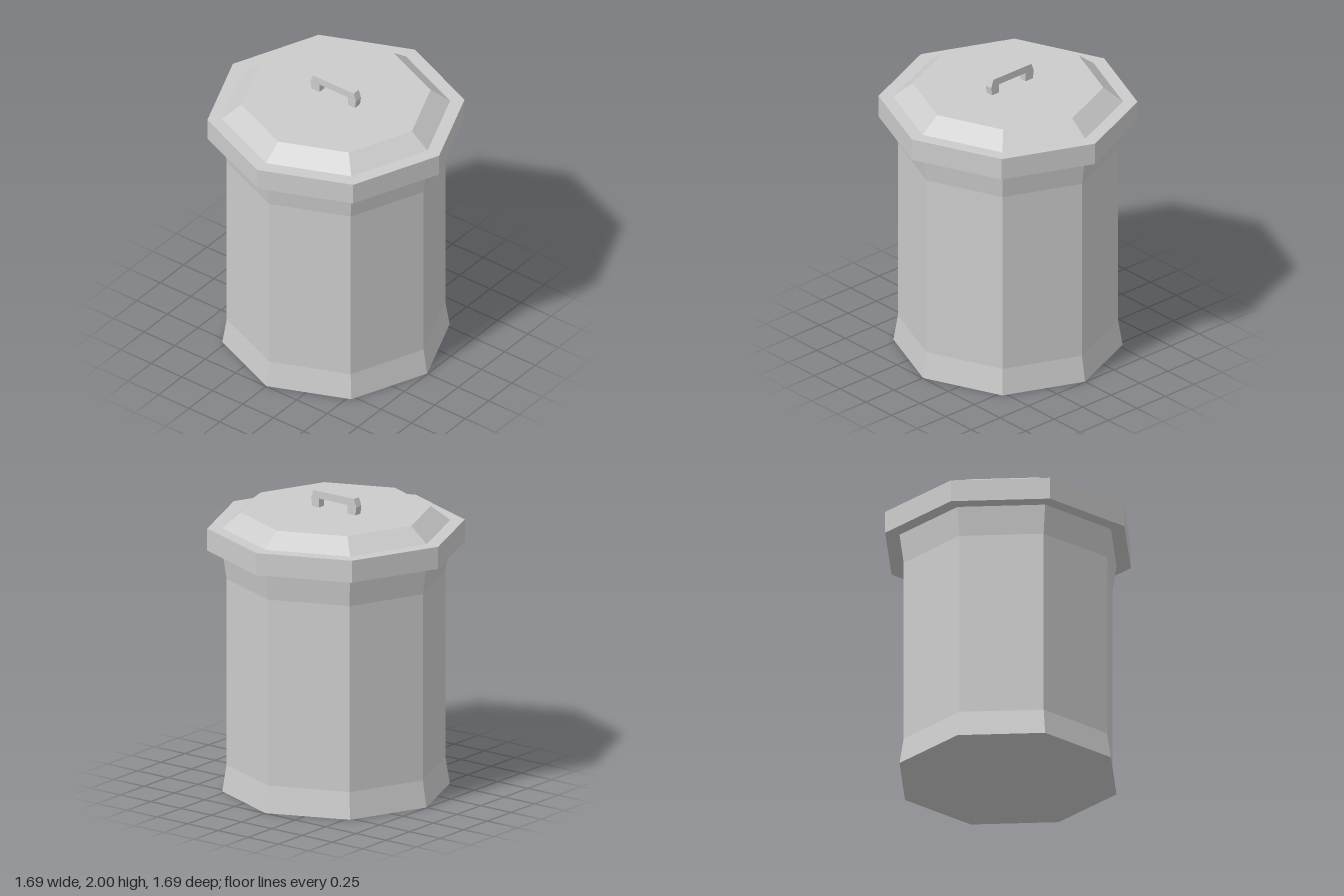
import * as THREE from 'three';

const SIDES = 8;

function makeMaterial() {
  return new THREE.MeshStandardMaterial({ color: 0xcccccc, flatShading: true });
}

// Octagonal solid turned from [radius, height] pairs, listed bottom to top
function turned(name, profile) {
  const points = profile.map(([r, y]) => new THREE.Vector2(r, y));
  const mesh = new THREE.Mesh(new THREE.LatheGeometry(points, SIDES), makeMaterial());
  mesh.name = name;
  return mesh;
}

export function createModel() {
  const group = new THREE.Group();
  group.name = 'trashCan';

  // Can body, flared at the foot and the mouth
  group.add(turned('body', [
    [0, 0], [0.747, 0], [0.718, 0.18], [0.718, 1.444], [0.747, 1.64],
  ]));

  // Lid with a wide rim and a bevelled raised top
  group.add(turned('lid', [
    [0, 1.64], [0.845, 1.64], [0.845, 1.79], [0.75, 1.79], [0.622, 1.89], [0, 1.89],
  ]));

  // Bracket handle standing on the lid, slightly off centre
  const outline = [
    [-0.187, 1.89], [-0.122, 1.89], [-0.122, 1.95], [0.112, 1.95], [0.112, 1.89],
    [0.17, 1.89], [0.178, 1.945], [0.16, 2], [-0.175, 2], [-0.195, 1.945],
  ];
  const shape = new THREE.Shape(outline.map(([x, y]) => new THREE.Vector2(x, y)));
  const handle = new THREE.Mesh(
    new THREE.ExtrudeGeometry(shape, { depth: 0.054, bevelEnabled: false }),
    makeMaterial()
  );
  handle.position.z = -0.035;
  handle.name = 'handle';
  group.add(handle);

  return group;
}
